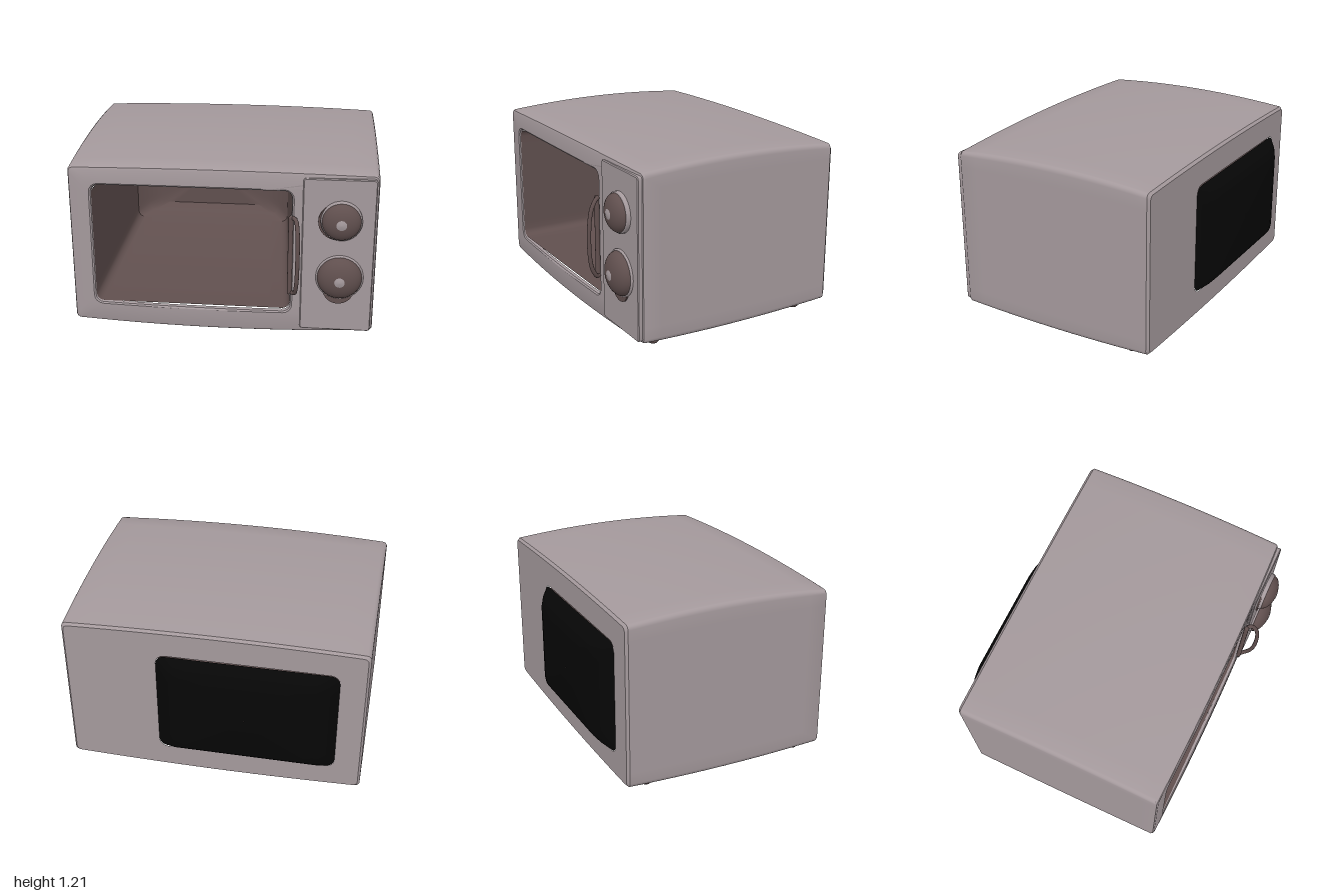
import * as THREE from 'three';
import { toCreasedNormals } from 'three/addons/utils/BufferGeometryUtils.js';

const paint = (name, color) => {
  const m = new THREE.MeshStandardMaterial({ color });
  m.name = name;
  return m;
};

// Rounded rectangle loop, counter-clockwise seen from +z
function ring(cx, cy, hw, hh, r, z) {
  const points = [], arc = 4, side = 14;
  const signs = [[1, 1], [-1, 1], [-1, -1], [1, -1]];
  const corner = (k, i) => {
    const a = (k + i / arc) * Math.PI / 2;
    const [sx, sy] = signs[k % 4];
    return new THREE.Vector3(cx + sx * (hw - r) + r * Math.cos(a), cy + sy * (hh - r) + r * Math.sin(a), z);
  };
  for (let k = 0; k < 4; k++) {
    for (let i = 0; i <= arc; i++) points.push(corner(k, i));
    const from = corner(k, arc), to = corner((k + 1) % 4, 0);
    for (let i = 1; i < side; i++) points.push(from.clone().lerp(to, i / side));
  }
  return points;
}

// Skin through consecutive loops
function loft(rings, rule = (p) => p) {
  const n = rings[0].length, pos = [], index = [];
  rings.forEach((loop) => loop.forEach((p) => pos.push(...rule(p).toArray())));
  for (let i = 0; i < rings.length - 1; i++) {
    for (let j = 0; j < n; j++) {
      const a = i * n + j, b = i * n + (j + 1) % n;
      index.push(a, b, b + n, a, b + n, a + n);
    }
  }
  const g = new THREE.BufferGeometry();
  g.setAttribute('position', new THREE.Float32BufferAttribute(pos, 3));
  g.setIndex(index);
  return toCreasedNormals(g, 0.55);
}

// Gentle swelling of the top, bottom and front
function swell(p) {
  const t = (p.y - 0.6075) / 0.5475;
  const across = 1 - p.x * p.x, along = Math.max(0, 1 - (p.z / 0.72) ** 2);
  const lift = t > 0 ? 0.02 * across + 0.036 * along : 0.022 * across + 0.02 * along;
  p.y += t ** 3 * lift;
  if (p.z > 0.6) p.z += 0.022 * across;
  return p;
}

export function createModel() {
  const model = new THREE.Group();
  model.name = 'microwave';
  const grey = paint('casing grey', 0xa4999c);
  const brown = paint('dark brown', 0x604f4e);
  const black = paint('back black', 0x060606);

  const add = (name, geometry, material, parent = model) => {
    const mesh = new THREE.Mesh(geometry, material);
    mesh.name = name;
    parent.add(mesh);
    return mesh;
  };

  // Casing: back frame, walls, front frame and window edge
  const outer = (inset, z) => ring(0, 0.6075, 1 - inset, 0.5475 - inset, 0.03, z);
  const walls = [];
  for (let i = 0; i <= 12; i++) walls.push(outer(0, -0.718 + 1.39 * i / 12));
  add('casing', loft([
    ring(-0.22, 0.6, 0.6, 0.38, 0.06, -0.735),
    outer(0.015, -0.735),
    ...walls,
    outer(0.006, 0.684),
    outer(0.02, 0.69),
    ring(-0.2, 0.617, 0.665, 0.43, 0.06, 0.692),
    ring(-0.2, 0.617, 0.655, 0.42, 0.05, 0.685),
    ring(-0.2, 0.617, 0.65, 0.415, 0.05, 0.665),
  ], swell), grey);

  // Cooking chamber, facing inward
  add('chamber', loft([
    ring(-0.2, 0.617, 0.65, 0.415, 0.05, 0.687),
    ring(-0.22, 0.6, 0.595, 0.375, 0.05, -0.7),
    ring(-0.22, 0.6, 0.52, 0.335, 0.06, -0.775),
    ring(-0.22, 0.6, 0.42, 0.285, 0.06, -0.815),
    ring(-0.22, 0.6, 0.002, 0.002, 0.001, -0.815),
  ]), brown);

  // Chamber back standing out of the rear
  add('rearBulge', loft([
    ring(-0.22, 0.6, 0.002, 0.002, 0.001, -0.83),
    ring(-0.22, 0.6, 0.42, 0.285, 0.06, -0.83),
    ring(-0.22, 0.6, 0.48, 0.312, 0.06, -0.815),
    ring(-0.22, 0.6, 0.54, 0.345, 0.06, -0.783),
    ring(-0.22, 0.6, 0.6, 0.38, 0.06, -0.735),
  ]), black);

  // Control panel plate
  add('controlPanel', loft([
    ring(0.752, 0.607, 0.233, 0.535, 0.02, 0.68),
    ring(0.752, 0.607, 0.233, 0.535, 0.02, 0.712),
    ring(0.752, 0.607, 0.227, 0.529, 0.015, 0.718),
    ring(0.752, 0.607, 0.002, 0.002, 0.001, 0.718),
  ]), grey);

  // Knobs: skirt, dome and a pale cap on the tip
  const lathe = (pts) => new THREE.LatheGeometry(pts.map(([r, y]) => new THREE.Vector2(r, y)), 32);
  const knob = (name, x, y, r, skirt) => {
    const group = new THREE.Group();
    group.name = name;
    group.position.set(x, y, 0.715);
    group.rotation.x = Math.PI / 2;
    add('knobSkirt', lathe([[r, 0], [r, skirt], [r * 0.96, skirt + 0.006], [r * 0.9, skirt + 0.006]]), grey, group);
    const dome = [];
    for (let i = 0; i <= 10; i++) {
      const a = i / 10 * Math.PI / 2;
      dome.push([r * 0.94 * Math.cos(a), skirt + (0.094 - skirt) * Math.sin(a)]);
    }
    add('knobDome', lathe(dome), brown, group);
    add('knobCap', lathe([[0.042, 0.085], [0.03, 0.094], [0, 0.097]]), grey, group);
    model.add(group);
  };
  knob('upperKnob', 0.768, 0.865, 0.133, 0.025);
  knob('lowerKnob', 0.77, 0.465, 0.155, 0.01);

  // Dark base discs peeping out behind the knobs
  for (const [x, y, r] of [[0.745, 0.855, 0.125], [0.765, 0.375, 0.1]]) {
    const disc = add('knobBase', new THREE.CylinderGeometry(r, r, 0.012, 32), brown);
    disc.rotation.x = Math.PI / 2;
    disc.position.set(x, y, 0.722);
  }

  // Door handle: straight mounting bar and bowed grip
  const bar = add('handleBar', new THREE.CapsuleGeometry(0.016, 0.53, 6, 12), brown);
  bar.position.set(0.447, 0.605, 0.718);
  const path = new THREE.CatmullRomCurve3([
    [0.455, 0.87, 0.715], [0.478, 0.865, 0.742], [0.492, 0.8, 0.782], [0.497, 0.605, 0.803],
    [0.492, 0.42, 0.785], [0.478, 0.345, 0.742], [0.455, 0.34, 0.715],
  ].map((p) => new THREE.Vector3(...p)));
  add('handleGrip', new THREE.TubeGeometry(path, 40, 0.014, 10), brown);

  // Feet
  for (const x of [-0.882, 0.882]) {
    for (const z of [-0.555, 0.555]) {
      const foot = add('foot', lathe([[0, 0], [0.028, 0], [0.035, 0.008], [0.037, 0.07]]), brown);
      foot.position.set(x, 0, z);
    }
  }
  return model;
}
